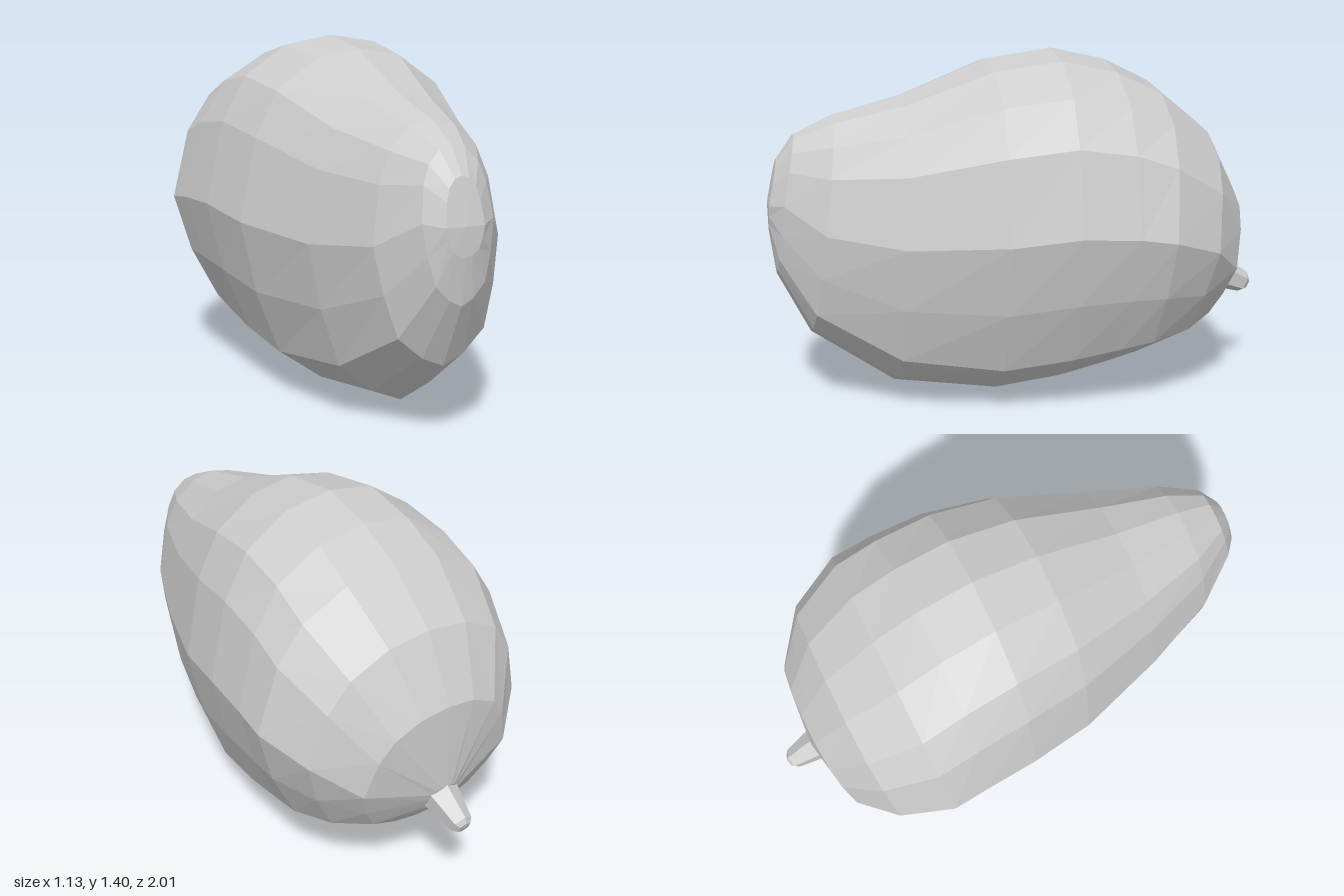
import * as THREE from 'three';

// Each ring: top [z, y], widest [z, y, half width], bottom [z, y]; front to back
const RINGS = [
  [[0.96, 1.0], [0.995, 0.83, 0.075], [0.998, 0.72]],
  [[0.89, 1.095], [0.94, 0.84, 0.14], [0.975, 0.545]],
  [[0.74, 1.165], [0.79, 0.74, 0.25], [0.85, 0.295]],
  [[0.47, 1.235], [0.5, 0.7, 0.37], [0.52, 0.063]],
  [[0.13, 1.367], [0.13, 0.72, 0.495], [0.13, 0.0]],
  [[-0.13, 1.402], [-0.13, 0.75, 0.54], [-0.13, 0.035]],
  [[-0.35, 1.352], [-0.35, 0.74, 0.556], [-0.32, 0.085]],
  [[-0.53, 1.262], [-0.49, 0.72, 0.565], [-0.45, 0.125]],
  [[-0.74, 1.09], [-0.69, 0.65, 0.48], [-0.6, 0.18]],
  [[-0.875, 0.84], [-0.82, 0.54, 0.33], [-0.72, 0.255]],
  [[-0.89, 0.5], [-0.862, 0.44, 0.06], [-0.83, 0.37]],
];

// Half cross-section in unit form, top to bottom, then mirrored
const HALF = [[0, 1], [0.36, 0.95], [0.69, 0.77], [0.87, 0.5], [1, 0],
  [0.88, -0.39], [0.69, -0.74], [0.33, -0.92], [0, -1]];
const SECTION = [...HALF, ...HALF.slice(1, -1).reverse().map(([x, y]) => [-x, y])];

function loftBody() {
  const n = SECTION.length;
  const points = [];
  const index = [];
  for (const [top, mid, bottom] of RINGS) {
    for (const [sx, sy] of SECTION) {
      const end = sy > 0 ? top : bottom;
      const t = Math.abs(sy);
      points.push(sx * mid[2], mid[1] + (end[1] - mid[1]) * t, mid[0] + (end[0] - mid[0]) * t);
    }
  }
  for (let r = 0; r < RINGS.length - 1; r++) {
    for (let i = 0; i < n; i++) {
      const a = r * n + i, b = r * n + (i + 1) % n;
      index.push(a, b, a + n, b, b + n, a + n);
    }
  }
  // Blunt nose and stem-end caps
  const nose = points.length / 3;
  points.push(0, 0.83, 1, 0, 0.44, -0.862);
  const last = (RINGS.length - 1) * n;
  for (let i = 0; i < n; i++) {
    const j = (i + 1) % n;
    index.push(nose, j, i, nose + 1, last + i, last + j);
  }
  const geometry = new THREE.BufferGeometry();
  geometry.setAttribute('position', new THREE.Float32BufferAttribute(points, 3));
  geometry.setIndex(index);
  const flat = geometry.toNonIndexed();
  flat.computeVertexNormals();
  return flat;
}

export function createModel() {
  const group = new THREE.Group();
  group.name = 'fruit';
  const skin = new THREE.MeshStandardMaterial({ color: 0xcccccc, flatShading: true });
  skin.name = 'pale grey skin';

  // Faceted pear-like body
  const body = new THREE.Mesh(loftBody(), skin);
  body.name = 'body';
  group.add(body);

  // Short tapered stem pointing back and down
  const profile = [[0.075, -0.02], [0.045, 0.13], [0.028, 0.148], [0, 0.152]]
    .map(([r, y]) => new THREE.Vector2(r, y));
  const stem = new THREE.Mesh(new THREE.LatheGeometry(profile, 6), skin);
  stem.name = 'stem';
  stem.position.set(0, 0.437, -0.862);
  stem.quaternion.setFromUnitVectors(
    new THREE.Vector3(0, 1, 0), new THREE.Vector3(0, -0.42, -0.91).normalize());
  group.add(stem);
  return group;
}
